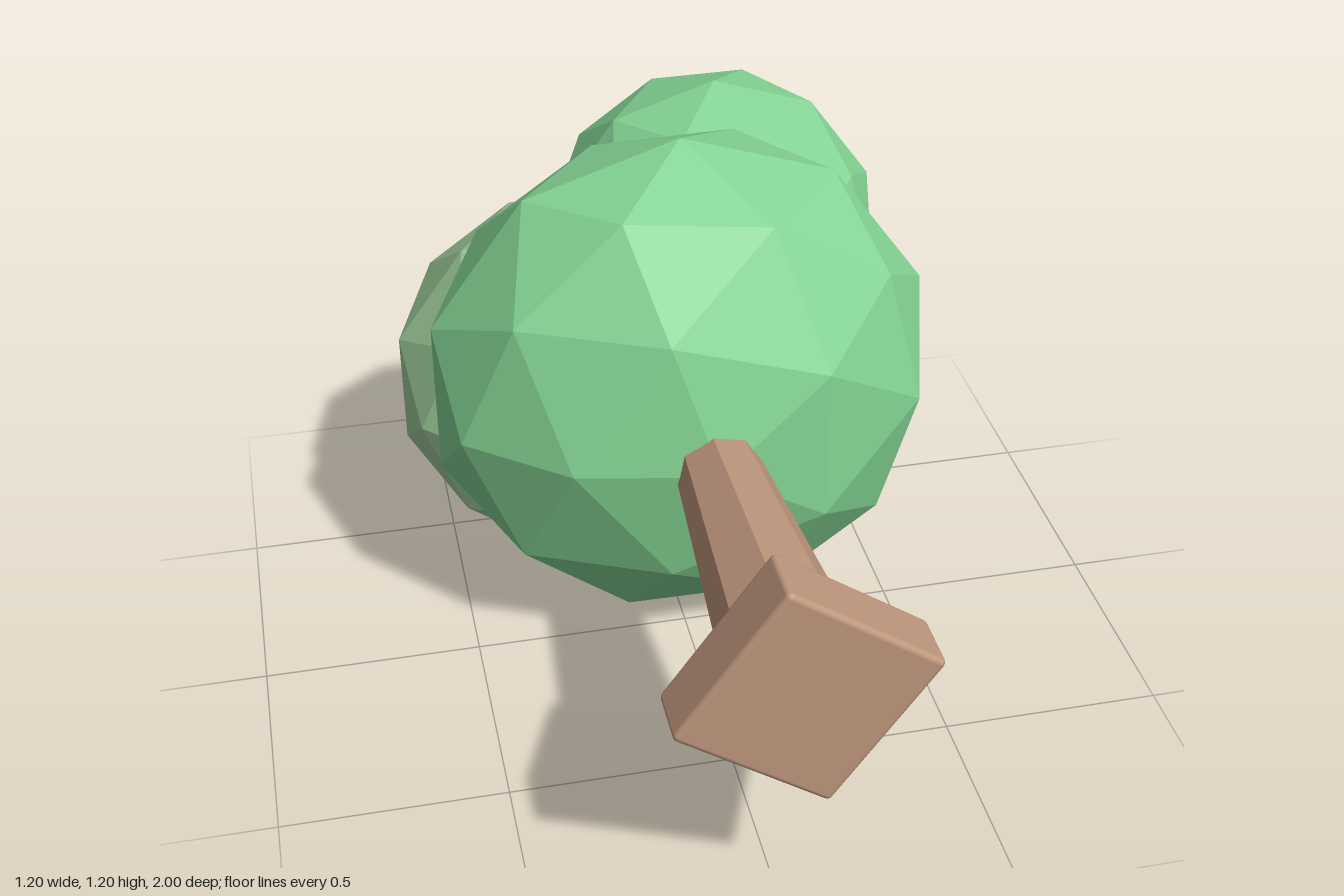
import * as THREE from 'three';
import { RoundedBoxGeometry } from 'three/addons/geometries/RoundedBoxGeometry.js';

const deg = THREE.MathUtils.degToRad;

// Faceted ball with a vertex on the z axis, stretched to radius r across and rz along z
function crown(name, material, r, rz, x, y, z) {
  const geo = new THREE.IcosahedronGeometry(1, 1);
  geo.rotateX(Math.atan(2 / (1 + Math.sqrt(5))));
  geo.rotateZ(deg(-18));
  geo.scale(r, r, rz);
  geo.computeVertexNormals(); // unshared corners give flat facets
  const mesh = new THREE.Mesh(geo, material);
  mesh.name = name;
  mesh.position.set(x, y, z);
  return mesh;
}

export function createModel() {
  const tree = new THREE.Group();
  tree.name = 'tree';

  const leaf = new THREE.MeshStandardMaterial({ color: 0x84d494 });
  leaf.name = 'leafGreen';
  const paleLeaf = new THREE.MeshStandardMaterial({ color: 0xa0cd9b });
  paleLeaf.name = 'paleLeafGreen';
  const wood = new THREE.MeshStandardMaterial({ color: 0xbd967c });
  wood.name = 'woodBrown';

  // Foliage: one large flattened ball and two smaller ones
  tree.add(
    crown('mainFoliage', leaf, 0.6, 0.44, 0.027, 0.605, -0.177),
    crown('topFoliage', leaf, 0.412, 0.395, 0.2, 0.717, -0.605),
    crown('sideFoliage', paleLeaf, 0.447, 0.41, -0.175, 0.46, -0.46)
  );

  // Tapered eight-sided trunk running along z
  const trunkGeo = new THREE.CylinderGeometry(0.14, 0.085, 0.8, 8).toNonIndexed();
  trunkGeo.rotateX(Math.PI / 2);
  trunkGeo.rotateZ(deg(10));
  trunkGeo.computeVertexNormals();
  const trunk = new THREE.Mesh(trunkGeo, wood);
  trunk.name = 'trunk';
  trunk.position.set(0.027, 0.602, 0.48);
  tree.add(trunk);

  // Square base with softened edges, turned about the trunk
  const base = new THREE.Mesh(new RoundedBoxGeometry(0.386, 0.386, 0.134, 2, 0.013), wood);
  base.name = 'base';
  base.position.set(0.027, 0.603, 0.933);
  base.rotation.z = deg(-35);
  tree.add(base);

  return tree;
}
